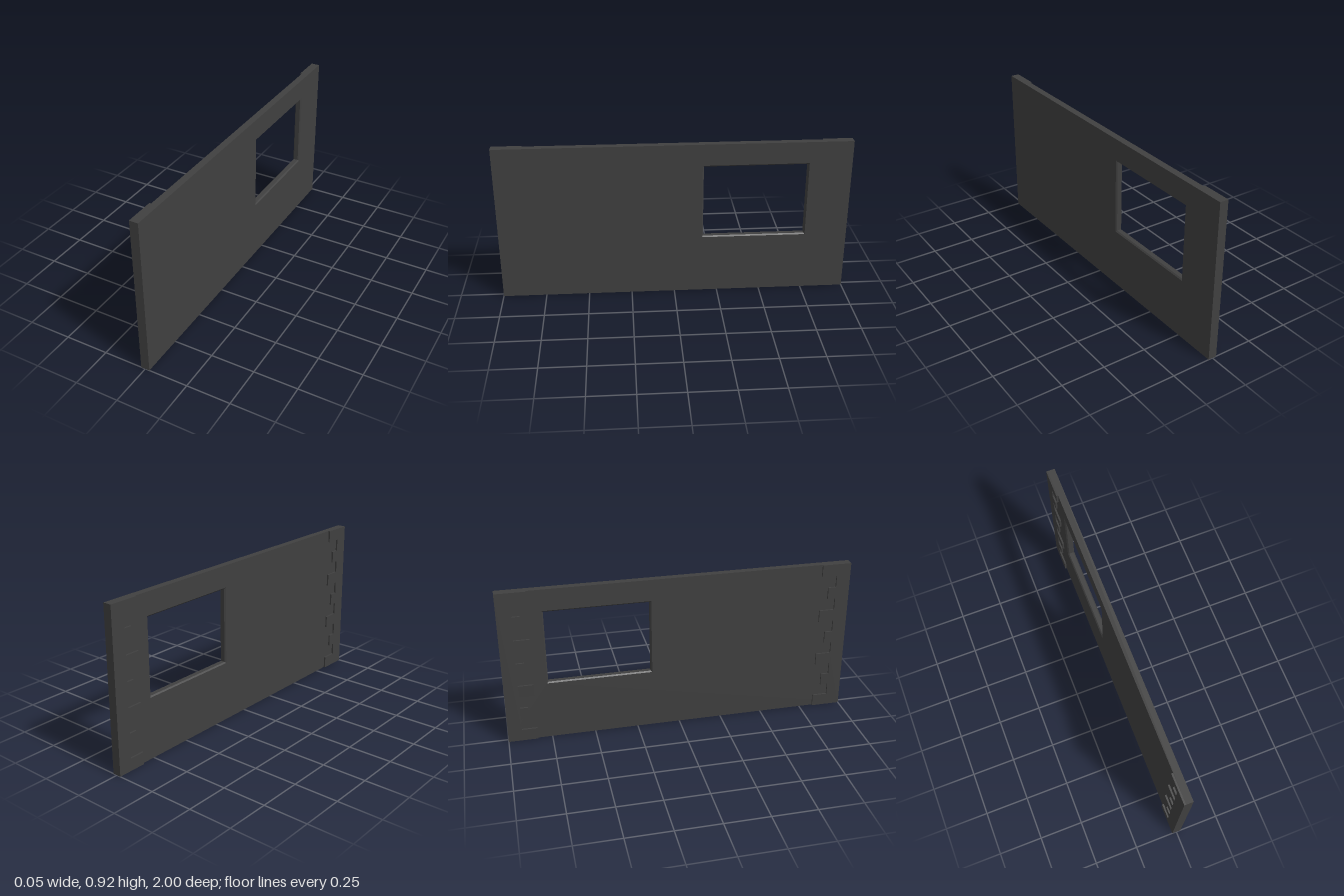
import * as THREE from 'three';

const HEIGHT = 0.917;
const BACK = -0.015, FRONT = 0.025;   // wall faces in x
const BEVEL = 0.007;                  // chamfer round the window
const COURSES = 13;                   // corner stones per end

// Four corners of a rectangle in the z-y plane, grown outward by g
const rect = (z0, z1, y0, y1, g = 0) => [
  [z0 - g, y0 - g], [z1 + g, y0 - g], [z1 + g, y1 + g], [z0 - g, y1 + g],
];

// Wall with a chamfered window: a closed profile carried round four corners
function wallGeometry() {
  const outer = rect(-1, 1, 0, HEIGHT);
  const hole = rect(-0.75, -0.165, 0.355, 0.785);
  const holeEdge = rect(-0.75, -0.165, 0.355, 0.785, BEVEL);
  const rings = [
    [BACK, outer], [FRONT, outer], [FRONT, holeEdge],
    [FRONT - BEVEL, hole], [BACK + BEVEL, hole], [BACK, holeEdge],
  ];
  const positions = [];
  const point = (j, k) => {
    const [x, loop] = rings[j % rings.length];
    const [z, y] = loop[k % 4];
    return [x, y, z];
  };
  for (let j = 0; j < rings.length; j++) {
    for (let k = 0; k < 4; k++) {
      const a = point(j, k), b = point(j, k + 1);
      const c = point(j + 1, k + 1), d = point(j + 1, k);
      positions.push(...a, ...d, ...c, ...a, ...c, ...b);
    }
  }
  const geometry = new THREE.BufferGeometry();
  geometry.setAttribute('position', new THREE.Float32BufferAttribute(positions, 3));
  geometry.computeVertexNormals();
  return geometry;
}

// Toothed strip of corner stones; side is +1 or -1 for the z end
function quoinGeometry(side) {
  const widths = [0.168, 0.08, 0.125, 0.08];
  const shape = new THREE.Shape();
  shape.moveTo(side, 0);
  for (let i = 0; i < COURSES; i++) {
    const z = side * (1 - widths[i % 4]);
    shape.lineTo(z, (i * HEIGHT) / COURSES);
    shape.lineTo(z, ((i + 1) * HEIGHT) / COURSES);
  }
  shape.lineTo(side, HEIGHT);
  shape.closePath();
  const geometry = new THREE.ExtrudeGeometry(shape, { depth: 0.01, bevelEnabled: false });
  geometry.rotateY(-Math.PI / 2);   // shape x becomes z, depth runs toward -x
  geometry.translate(BACK, 0, 0);
  return geometry;
}

export function createModel() {
  const group = new THREE.Group();
  group.name = 'wallPanel';
  const material = new THREE.MeshStandardMaterial({ color: 0x404040 });

  const add = (name, geometry) => {
    const mesh = new THREE.Mesh(geometry, material);
    mesh.name = name;
    group.add(mesh);
  };

  add('wall', wallGeometry());
  add('frontCornerStones', quoinGeometry(1));
  add('backCornerStones', quoinGeometry(-1));
  return group;
}
